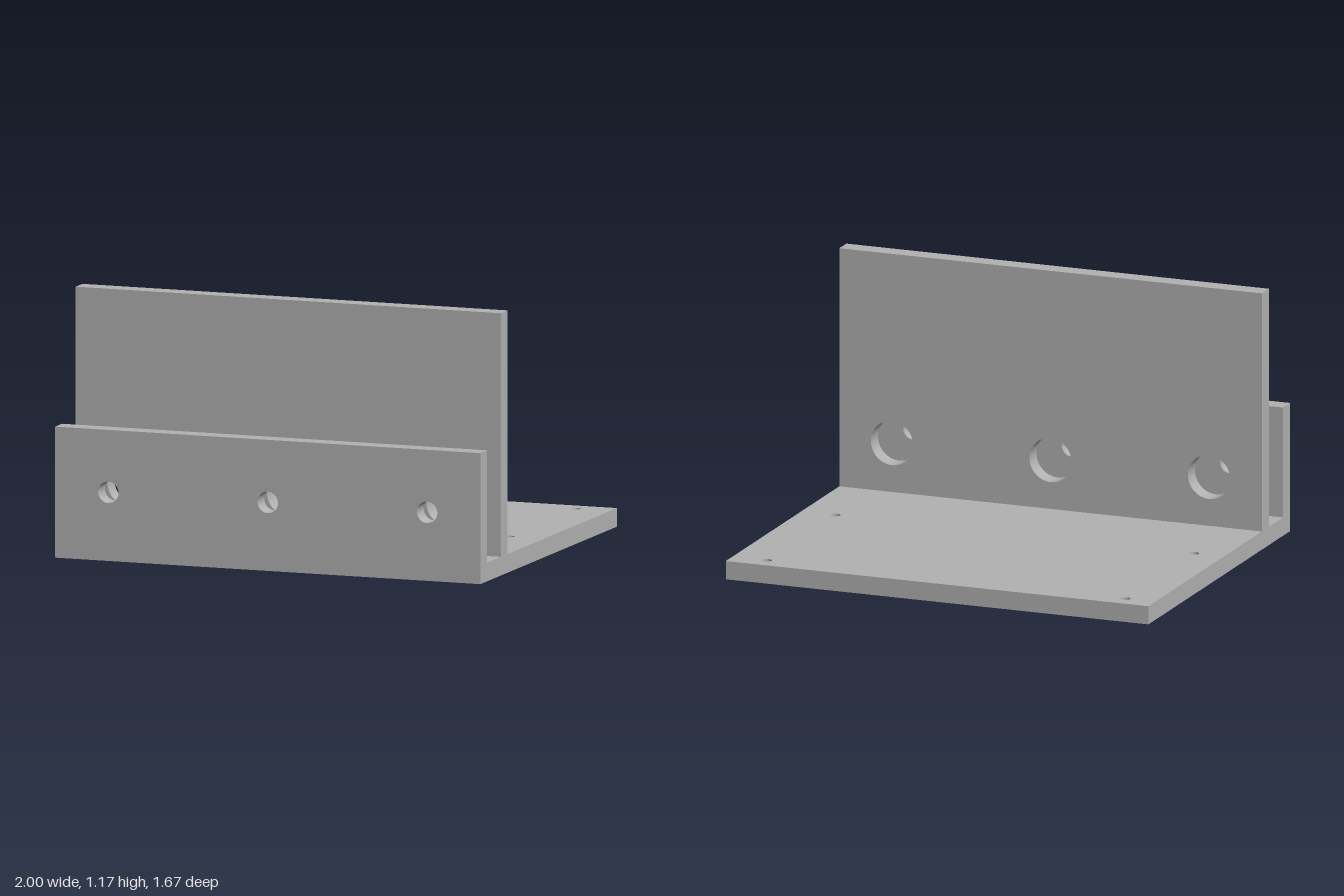
import * as THREE from 'three';

const T = 0.083; // plate thickness
const W = 2; // bracket width
const D = 1.667; // bracket depth

const greyMetal = new THREE.MeshStandardMaterial({ color: 0xb2b2b2 });

// Rectangular plate from (x0,y0) to (x1,y1), pierced by round holes, extruded along +z
function drilledPlate(name, x0, y0, x1, y1, holes, radius) {
  const shape = new THREE.Shape([
    new THREE.Vector2(x0, y0),
    new THREE.Vector2(x1, y0),
    new THREE.Vector2(x1, y1),
    new THREE.Vector2(x0, y1),
  ]);
  for (const [x, y] of holes) {
    shape.holes.push(new THREE.Path().absarc(x, y, radius, 0, Math.PI * 2, true));
  }
  const geometry = new THREE.ExtrudeGeometry(shape, { depth: T, bevelEnabled: false, curveSegments: 32 });
  const mesh = new THREE.Mesh(geometry, greyMetal);
  mesh.name = name;
  return mesh;
}

export function createModel() {
  const group = new THREE.Group();
  group.name = 'mountingBracket';

  // Base plate with four small screw holes, laid flat (shape y becomes z)
  const screwHoles = [];
  for (const x of [-0.86, 0.838]) for (const z of [-0.754, 0.053]) screwHoles.push([x, z]);
  const base = drilledPlate('basePlate', -W / 2, -D / 2, W / 2, D / 2, screwHoles, 0.022);
  base.geometry.rotateX(Math.PI / 2).translate(0, T, 0);

  // Two upright walls with aligned holes; those in the tall wall are wider
  const wallHoles = [-0.75, 0, 0.75].map((x) => [x, 0.305]);
  const frontWall = drilledPlate('frontWall', -W / 2, T, W / 2, 0.583, wallHoles, 0.048);
  frontWall.position.z = D / 2 - T;
  const tallWall = drilledPlate('tallWall', -W / 2, T, W / 2, 1.167, wallHoles, 0.1);
  tallWall.position.z = 0.5;

  group.add(base, frontWall, tallWall);
  return group;
}
